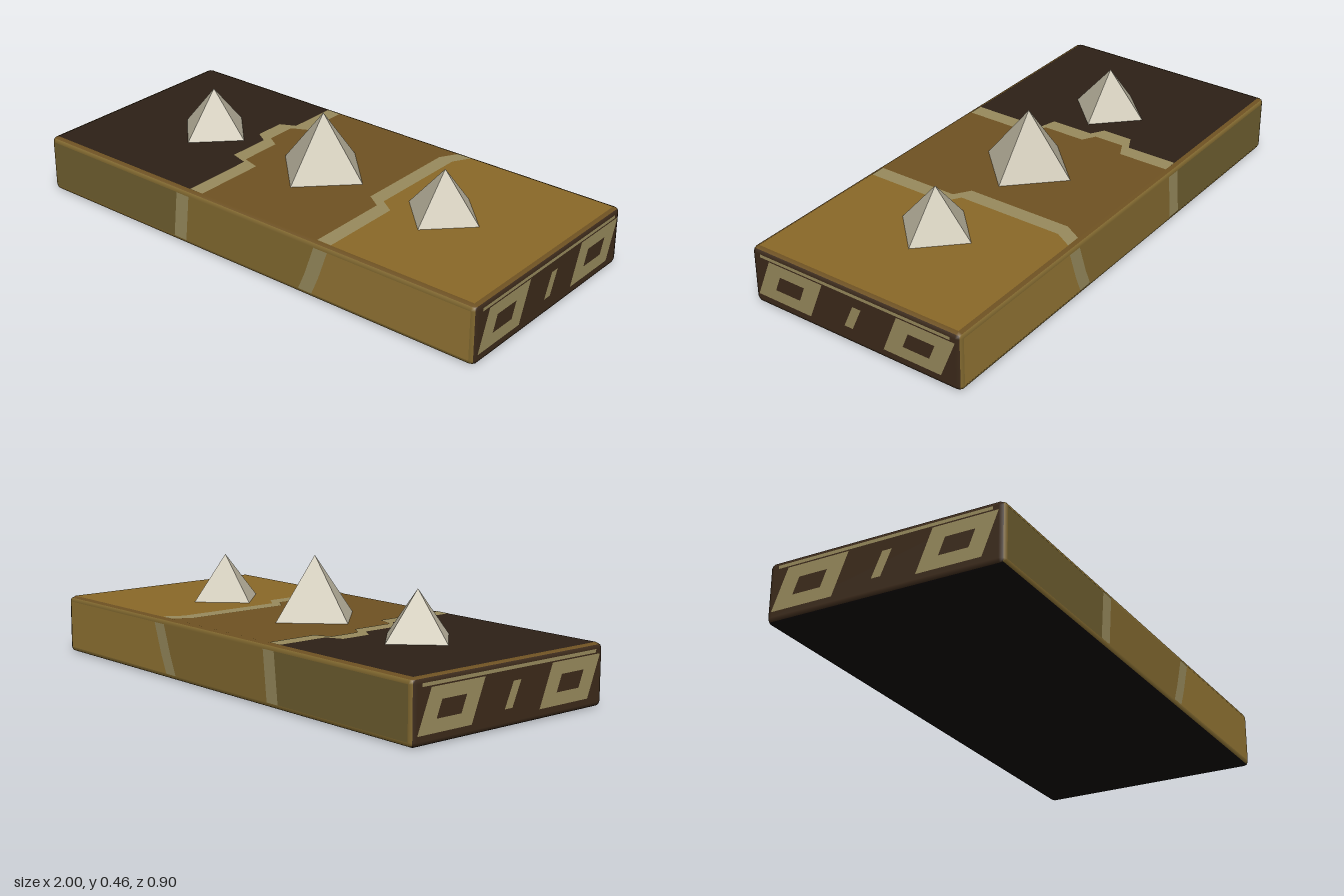
import * as THREE from 'three';
import { RoundedBoxGeometry } from 'three/addons/geometries/RoundedBoxGeometry.js';

const W = 2, H = 0.225, D = 0.9, R = 0.02;
const mat = (color) => new THREE.MeshStandardMaterial({ color });
const STONE = mat(0xb8b19c), PALE = mat(0x978a5c), DARK = mat(0x2d2016), BROWN = mat(0x6f5222),
  GOLD = mat(0x8a6828), SIDE_DARK = mat(0x6f5f30), SIDE = mat(0x836a30), SIDE_GOLD = mat(0x937534),
  END = mat(0x3c2a1a), BASE = mat(0x0f0a06);

export function createModel() {
  const model = new THREE.Group();

  // flat inlay lying just above one face; place() turns it from the xy plane onto that face
  function inlay(name, points, material, place, hole) {
    const shape = new THREE.Shape(points.map(([a, b]) => new THREE.Vector2(a, b)));
    if (hole) shape.holes.push(new THREE.Path(hole.map(([a, b]) => new THREE.Vector2(a, b))));
    const mesh = new THREE.Mesh(place(new THREE.ShapeGeometry(shape)), material);
    mesh.name = name;
    model.add(mesh);
  }
  const shift = (line, d) => line.map(([a, b]) => [a + d, b]);
  const band = (line, w) => [...shift(line, -w), ...shift(line, w).reverse()];

  // slab, one material per side (+x, -x, +y, -y, +z, -z)
  const slab = new THREE.Mesh(new RoundedBoxGeometry(W, H, D, 1, R), [END, END, BROWN, BASE, SIDE, SIDE]);
  slab.position.y = H / 2;
  slab.name = 'slab';
  model.add(slab);

  // coloured sections and pale seams on a long face: the left seam, the right seam, the face's edges
  function sections(prefix, seamA, seamB, colorA, colorB, place) {
    const xEnd = W / 2 - R;
    const first = seamA[0][1], last = seamA[seamA.length - 1][1];
    inlay(prefix + 'DarkSection', [[-xEnd, first], ...seamA, [-xEnd, last]], colorA, place(0.0006));
    inlay(prefix + 'GoldSection', [[xEnd, first], ...seamB, [xEnd, last]], colorB, place(0.0006));
    for (const seam of [seamA, seamB]) inlay(prefix + 'Seam', band(seam, 0.03), PALE, place(0.0014));
  }

  // top, with stepped seams (second coordinate is -z)
  const zEnd = D / 2 - R;
  sections('top',
    [[-0.24, -zEnd], [-0.24, -0.14], [-0.31, -0.12], [-0.31, 0.05], [-0.36, 0.08], [-0.36, 0.2],
      [-0.3, 0.23], [-0.3, zEnd]],
    [[0.36, -zEnd], [0.36, -0.1], [0.3, -0.06], [0.3, 0.36], [0.34, zEnd]],
    DARK, GOLD, (lift) => (g) => g.rotateX(-Math.PI / 2).translate(0, H + lift, 0));

  // front and back
  const low = R, high = H - R;
  const seamA = [[-0.31, low], [-0.29, high]], seamB = [[0.29, low], [0.32, 0.09], [0.36, high]];
  sections('front', seamA, seamB, SIDE_DARK, SIDE_GOLD, (lift) => (g) => g.translate(0, 0, D / 2 + lift));
  // the back is seen from inside out, so its triangles are turned by mirroring the outline
  sections('back', shift(seamB, 0).map(([a, b]) => [-a, b]), seamA.map(([a, b]) => [-a, b]),
    SIDE_GOLD, SIDE_DARK, (lift) => (g) => g.rotateY(Math.PI).translate(0, 0, -D / 2 - lift));

  // ends: two slanted rings, a slash between them and a pale upper border
  const slant = (u, y, w, h, lean) => [[u - w - lean, y - h], [u + w - lean, y - h], [u + w + lean, y + h], [u - w + lean, y + h]];
  for (const side of [1, -1]) {
    const place = (g) => g.rotateY(side * Math.PI / 2).translate(side * (W / 2 + 0.001), 0, 0);
    for (const u of [-0.28, 0.28]) {
      inlay('endRing', slant(u, 0.114, 0.12, 0.075, 0.03), PALE, place, slant(u, 0.114, 0.055, 0.03, 0.012));
    }
    inlay('endSlash', slant(0, 0.11, 0.018, 0.045, 0.02), PALE, place);
    inlay('endBorder', slant(0, 0.2, 0.41, 0.006, 0), PALE, place);
  }

  // three four-sided spikes
  for (const [x, radius, peak] of [[-0.55, 0.153, 0.402], [0, 0.187, 0.458], [0.55, 0.153, 0.402]]) {
    const geometry = new THREE.ConeGeometry(radius, peak - H, 4).toNonIndexed();
    geometry.computeVertexNormals();
    const spike = new THREE.Mesh(geometry, STONE);
    spike.position.set(x, (peak + H) / 2, 0);
    spike.name = 'spike';
    model.add(spike);
  }
  return model;
}
